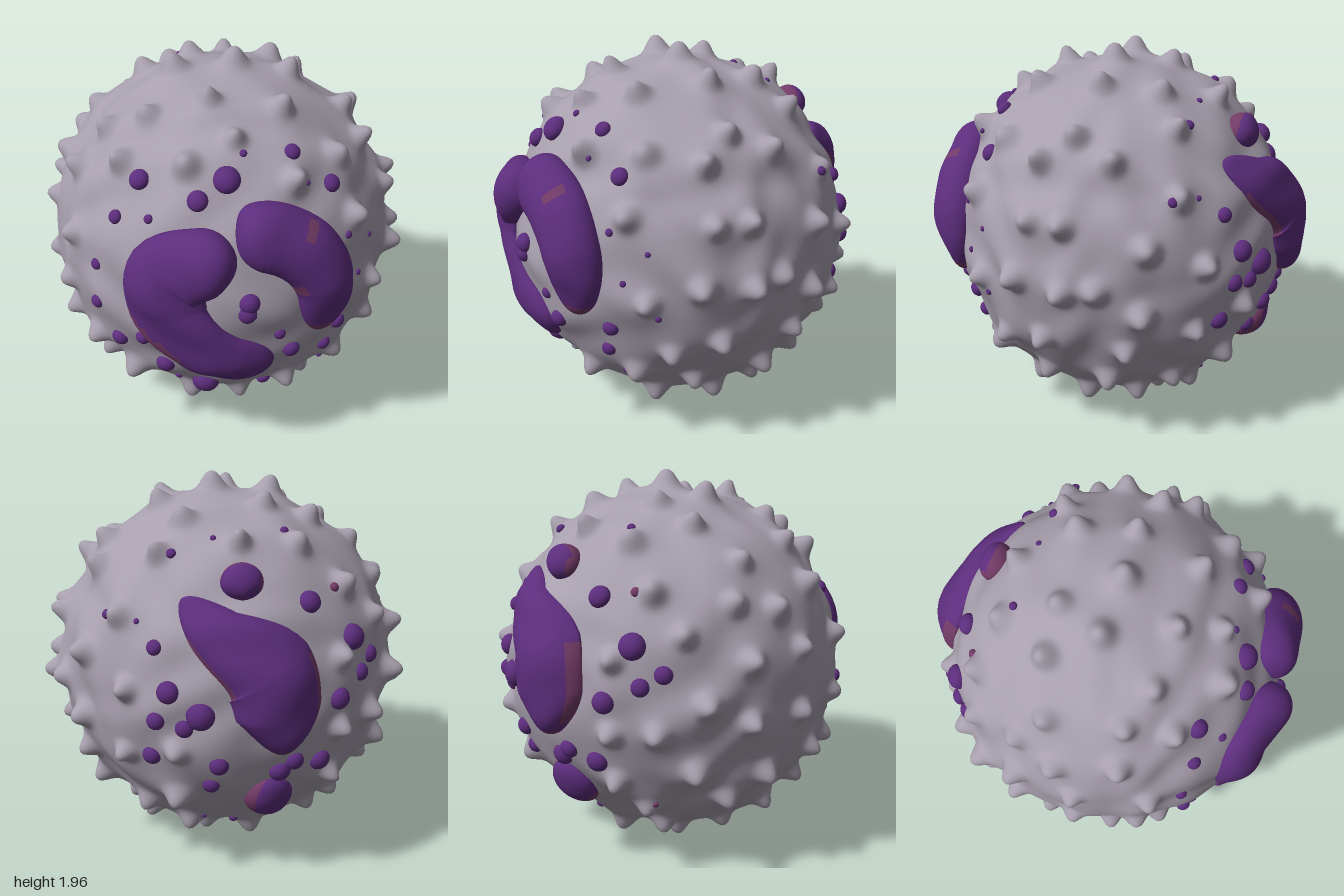
import * as THREE from 'three';
import { mergeVertices } from 'three/addons/utils/BufferGeometryUtils.js';

const R = 0.88;
const paint = (name, color) => Object.assign(new THREE.MeshStandardMaterial({ color }), { name });

let seed = 7;
const random = () => (seed = (seed * 16807) % 2147483647) / 2147483647;

// Even random point on the sphere
function scatter() {
  const y = 2 * random() - 1, a = random() * Math.PI * 2, q = Math.sqrt(1 - y * y);
  return new THREE.Vector3(q * Math.cos(a), y, q * Math.sin(a)).multiplyScalar(R);
}

// Point at (u right, v up) facing azimuth az and elevation el, found at radius r and dropped to the sphere
function onSphere(u, v, az, el, r = R) {
  const d = Math.hypot(u, v), k = Math.min(1, (r * 0.999) / (d || 1));
  const p = new THREE.Vector3(u * k, v * k, Math.sqrt(r * r - d * d * k * k)).setLength(R);
  p.applyAxisAngle(new THREE.Vector3(1, 0, 0), -el * Math.PI / 180);
  return p.applyAxisAngle(new THREE.Vector3(0, 1, 0), az * Math.PI / 180);
}

// Gentle unevenness of every surface
const ripple = (p) => 0.006 * Math.sin(p.x * 15 + 3 * Math.sin(p.y * 7)) + 0.006 * Math.sin(p.y * 17 + 3 * Math.sin(p.z * 8))
  + 0.004 * Math.sin(p.z * 23 + p.x * 9);

// Lobes: path points [u, v, half width, height], facing angle, crest sharpness, cap length, accent zone
const near = (a, b) => Math.abs(Math.atan2(Math.sin(a - b), Math.cos(a - b)));
const LOBES = [
  { name: 'frontLobeRight', az: 0, el: 0, crest: 1, cap: 0.16,
    path: [[0, 0.29, 0.14, 0.15], [-0.15, 0.26, 0.17, 0.14], [-0.32, 0.17, 0.21, 0.1], [-0.33, -0.02, 0.21, 0.065], [-0.19, -0.21, 0.18, 0.07], [-0.02, -0.33, 0.175, 0.08], [0.19, -0.36, 0.17, 0.07]],
    accent: (t, a) => near(a, 0) < 0.95 * Math.sin(Math.PI * Math.min(1, Math.max(0, (t - 0.42) / 0.36))) },
  { name: 'frontLobeLeft', az: 0, el: 0, crest: 1, cap: 0.18,
    path: [[0, 0.35, 0.16, 0.11], [0.15, 0.36, 0.17, 0.13], [0.32, 0.27, 0.17, 0.13], [0.42, 0.11, 0.16, 0.12], [0.42, -0.2, 0.13, 0.08]],
    accent: (t, a) => t > 0.93 || (t > 0.6 && t < 0.73 && near(a, 0) < 0.6) || (t > 0.4 && t < 0.45 && near(a, 2) < 0.3) },
  { name: 'backLobe', az: 180, el: 0, crest: 1.4, cap: 0.25,
    path: [[-0.36, 0.52, 0.09, 0.05], [-0.22, 0.38, 0.14, 0.075], [0, 0.21, 0.24, 0.11], [0.05, 0.02, 0.22, 0.12], [0.06, -0.2, 0.12, 0.12]],
    accent: (t, a) => t > 0.95 || (t > 0.15 && t < 0.5 && near(a, 0) < 0.4) || (t > 0.5 && t < 0.9 && near(a, Math.PI) < 0.7) },
  { name: 'lowerBackLobe', az: 142, el: -27, crest: 1, cap: 0.5,
    path: [[0.5, -0.06, 0.12, 0.085], [0.48, -0.2, 0.125, 0.085], [0.45, -0.34, 0.12, 0.085]],
    accent: (t, a) => t > 0.78 || near(a, 0) < 0.7 },
  { name: 'upperBackLobe', az: 180, el: 0, crest: 1, cap: 0.5,
    path: [[0.02, 0.58, 0.085, 0.1], [-0.08, 0.59, 0.09, 0.1], [-0.18, 0.58, 0.085, 0.1]],
    accent: (t, a) => t < 0.1 || near(a, 0) < 0.7 },
];

// Larger granules: [u, v, radius] for each facing angle
const GRANULES = [
  { az: 0, el: 0, spots: [[-0.44, 0.57, 0.05], [-0.17, 0.53, 0.05], [-0.03, 0.61, 0.065], [0.5, 0.51, 0.045],
    [-0.57, 0.39, 0.035], [-0.46, -0.23, 0.037], [-0.58, -0.32, 0.045], [-0.35, -0.43, 0.05], [-0.14, -0.59, 0.07],
    [0.28, -0.29, 0.045], [0.56, -0.27, 0.042], [0.06, 0.06, 0.05], [0.05, 0, 0.045], [0.29, 0.67, 0.04],
    [-0.69, 0.11, 0.03], [-0.68, -0.1, 0.035], [0.18, -0.69, 0.038], [0.49, -0.42, 0.038], [0.22, -0.17, 0.03]] },
  { az: 142, el: -27, spots: [[0.1, 0.51, 0.055], [0.04, 0.38, 0.045], [0.26, 0.4, 0.07], [-0.01, 0.17, 0.048],
    [0.33, 0.13, 0.048], [0.27, -0.01, 0.043], [0.64, 0.02, 0.048], [0.72, -0.07, 0.04], [0.01, 0.67, 0.038],
    [0.89, 0.22, 0.045]] },
  { az: 218, el: 27, spots: [[-0.25, 0.12, 0.055], [-0.07, -0.12, 0.065], [-0.21, -0.38, 0.055], [-0.03, -0.31, 0.045],
    [-0.46, -0.62, 0.055], [-0.26, -0.65, 0.055], [-0.82, -0.24, 0.045]] },
];

// Most prominent spikes: [u, v] for each facing angle
const SPIKES = [
  { az: 90, el: 0, tips: [[-0.2, 0.56], [0.16, 0.58], [-0.22, 0.3], [-0.3, 0], [0.13, 0], [-0.17, -0.33], [0.26, -0.36]] },
  { az: 0, el: 90, tips: [[-0.24, 0.5], [-0.38, 0.23], [0.28, 0.28], [-0.23, 0], [0.06, -0.02], [0.34, 0], [0.26, -0.34]] },
  { az: 0, el: 0, tips: [[0.89, 0.31], [0.93, -0.03], [0.66, 0.72], [-0.12, -0.96], [-0.93, -0.11], [-0.9, 0.23]] },
];

// Swept dome that follows the sphere along a path
function lobeGeometry({ path, az, el, crest, cap, accent }) {
  const curve = new THREE.CatmullRomCurve3(path.map(([u, v]) => onSphere(u, v, az, el)));
  const N = 64, M = 36, pos = [], main = [], edge = [];
  for (let i = 0; i <= N; i++) {
    const t = (1 - Math.cos(Math.PI * i / N)) / 2;
    const d = curve.getPoint(t).normalize();
    const side = curve.getTangent(t).cross(d).normalize();
    const k = t * (path.length - 1), n = Math.min(path.length - 2, Math.floor(k));
    const [w, h] = [2, 3].map((c) => THREE.MathUtils.lerp(path[n][c], path[n + 1][c], k - n));
    const round = Math.sqrt(Math.max(0, 1 - (1 - Math.min(1, t / cap, (1 - t) / cap)) ** 2));
    for (let j = 0; j < M; j++) {
      const a = j / M * Math.PI * 2, s = Math.sin(a);
      const p = d.clone().multiplyScalar(R).addScaledVector(side, w * round * Math.cos(a)).setLength(R);
      p.setLength(R + round * (s > 0 ? s ** crest * (h + 1.3 * ripple(p)) : s * 0.07));
      pos.push(p.x, p.y, p.z);
      if (i === N) continue;
      const A = i * M + j, B = i * M + (j + 1) % M;
      (accent(t, a) ? edge : main).push(A, A + M, B + M, A, B + M, B);
    }
  }
  const g = new THREE.BufferGeometry();
  g.setAttribute('position', new THREE.Float32BufferAttribute(pos, 3));
  g.setIndex([...main, ...edge]);
  g.addGroup(0, main.length, 0);
  g.addGroup(main.length, edge.length, 1);
  g.computeVertexNormals();
  return g;
}

export function createModel() {
  const grey = paint('cell grey', 0xa79fad);
  const purple = paint('nucleus purple', 0x5c2d7c);
  const plum = paint('plum accent', 0x713a66);
  const model = new THREE.Group();
  model.name = 'spikyCell';
  const cell = new THREE.Group();
  cell.name = 'cell';
  cell.position.y = 1;
  model.add(cell);

  // Ground covered by the lobes
  const zones = LOBES.flatMap(({ path, az, el }) => path.map(([u, v, r]) => ({ p: onSphere(u, v, az, el), r })));
  const lobeGap = (p) => Math.min(...zones.map((z) => z.p.distanceTo(p) - z.r));

  // Placed granules, then fine ones strewn around the lobes
  const granules = GRANULES.flatMap(({ az, el, spots }) =>
    spots.map(([u, v, r]) => ({ p: onSphere(u, v, az, el, 0.91), r, material: purple })));
  const large = granules.slice();
  for (let i = 0; i < 200; i++) {
    const p = scatter(), gap = lobeGap(p);
    if (Math.abs(p.z) < 0.4 || gap < 0.06 || gap > 0.3 || granules.some((g) => g.p.distanceTo(p) < 0.14)) continue;
    granules.push({ p, r: 0.014 + 0.012 * random(), material: random() < 0.15 ? plum : purple });
  }

  // Placed spikes, then an even scatter over the rest
  const spikes = [];
  const addSpike = (p, gap) => {
    if (lobeGap(p) < 0.11 || large.some((g) => g.p.distanceTo(p) < 0.11) || spikes.some((s) => s.p.distanceTo(p) < gap)) return;
    spikes.push({ p, h: 0.055 + 0.025 * random(), w: 0.045 + 0.012 * random() });
  };
  for (const { az, el, tips } of SPIKES) for (const [u, v] of tips) addSpike(onSphere(u, v, az, el, 0.91), 0.16);
  for (let i = 0; i < 1200; i++) addSpike(scatter(), 0.225);

  const surface = (dir) => {
    const p = dir.clone().setLength(R);
    let r = R + ripple(p) + 0.015 * (p.y * p.y - p.x * p.x);
    for (const s of spikes) {
      const d2 = s.p.distanceToSquared(p);
      if (d2 < 0.09) r += s.h * Math.exp(-((d2 / (s.w * s.w)) ** 1.25)) + 0.02 * Math.exp(-d2 / 0.012);
    }
    return r;
  };

  // Spiky body
  let body = new THREE.IcosahedronGeometry(1, 58);
  body.deleteAttribute('normal');
  body.deleteAttribute('uv');
  body = mergeVertices(body, 1e-4);
  const pos = body.attributes.position, v = new THREE.Vector3();
  for (let i = 0; i < pos.count; i++) {
    v.fromBufferAttribute(pos, i);
    v.setLength(surface(v));
    pos.setXYZ(i, v.x, v.y, v.z);
  }
  body.computeVertexNormals();
  const bodyMesh = new THREE.Mesh(body, grey);
  bodyMesh.name = 'spikyBody';
  cell.add(bodyMesh);

  // Nucleus lobes
  for (const lobe of LOBES) {
    const mesh = new THREE.Mesh(lobeGeometry(lobe), [purple, plum]);
    mesh.name = lobe.name;
    cell.add(mesh);
  }

  // Granules, flattened against the surface
  const ball = new THREE.SphereGeometry(1, 16, 12);
  for (const { p, r, material } of granules) {
    const mesh = new THREE.Mesh(ball, material);
    mesh.name = 'granule';
    mesh.position.copy(p).setLength(surface(p));
    mesh.quaternion.setFromUnitVectors(new THREE.Vector3(0, 0, 1), p.clone().normalize());
    mesh.scale.set(r, r, r * 0.8);
    cell.add(mesh);
  }
  return model;
}
